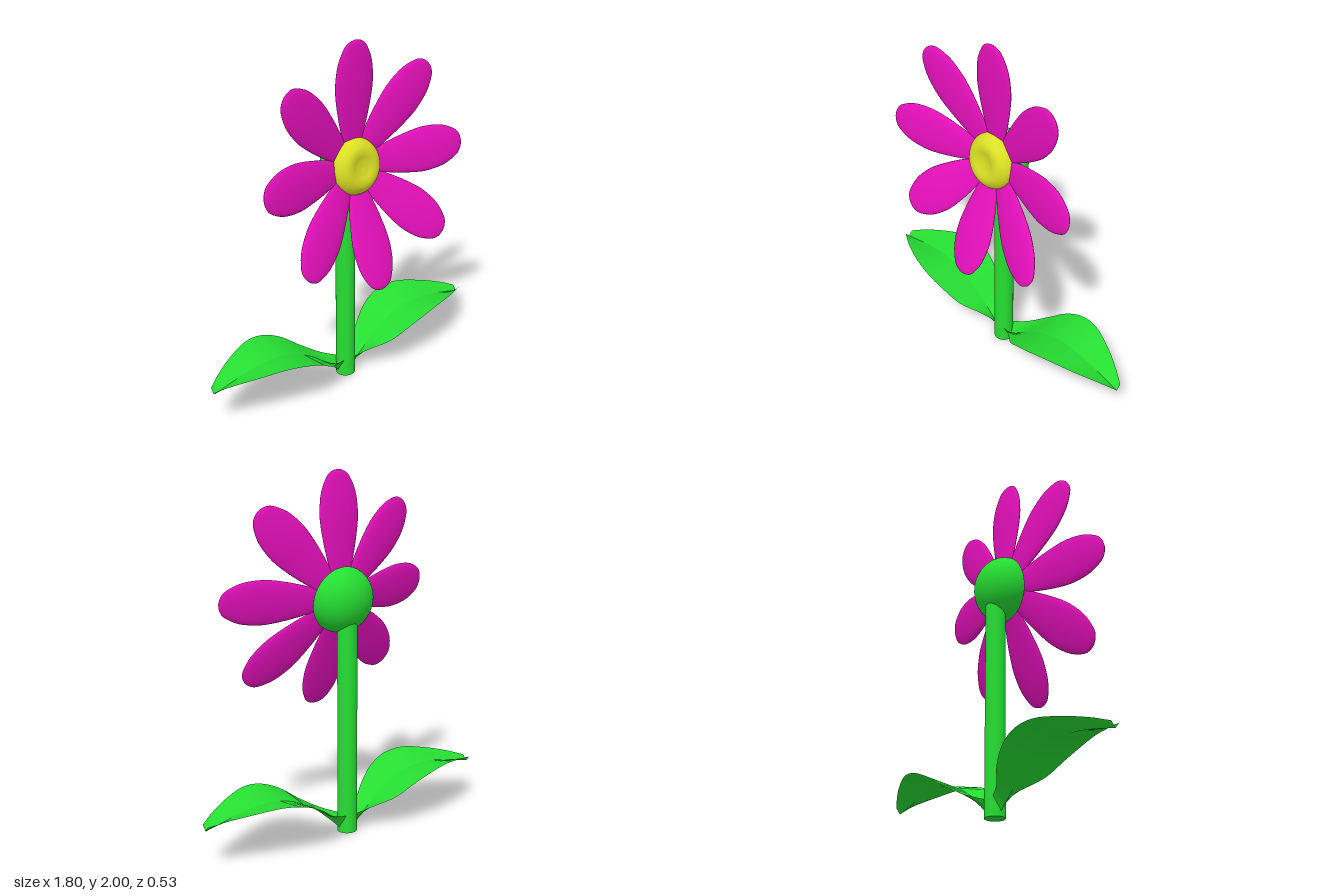
import * as THREE from 'three';

const mat = (name, color, side = THREE.FrontSide) => {
  const m = new THREE.MeshStandardMaterial({ color, side });
  m.name = name;
  return m;
};

export function createModel() {
  const green = mat('leaf green', 0x26de32);
  const leafGreen = green.clone();
  leafGreen.side = THREE.DoubleSide;
  const magenta = mat('petal magenta', 0xe610bc);
  const yellow = mat('centre yellow', 0xdadf24);

  const model = new THREE.Group();
  model.name = 'flower';
  const add = (parent, name, geometry, material) => {
    const mesh = new THREE.Mesh(geometry, material);
    mesh.name = name;
    parent.add(mesh);
    return mesh;
  };

  // Stem
  add(model, 'stem', new THREE.CylinderGeometry(0.055, 0.055, 1.2, 24), green)
    .position.set(0, 0.6, -0.055);

  // Flower head, tilted slightly upwards
  const head = new THREE.Group();
  head.name = 'head';
  head.position.set(0, 1.31, 0);
  head.rotation.x = -0.17;
  model.add(head);

  // Green cup behind the petals
  const cup = new THREE.SphereGeometry(0.183, 40, 16, 0, Math.PI * 2, Math.PI / 2, Math.PI / 2);
  cup.rotateX(Math.PI / 2).scale(1, 1, 0.83);
  add(head, 'cup', cup, green);
  add(head, 'cupFront', new THREE.CircleGeometry(0.183, 40), green);

  // Domed centre with a shallow dimple
  const domeCurve = new THREE.SplineCurve([
    [0.15, 0], [0.155, 0.03], [0.143, 0.065], [0.11, 0.095],
    [0.075, 0.1], [0.04, 0.092], [0, 0.088],
  ].map(([r, h]) => new THREE.Vector2(r, h)));
  const dome = new THREE.LatheGeometry(domeCurve.getPoints(24), 40);
  dome.rotateX(Math.PI / 2);
  add(head, 'centre', dome, yellow);

  // Eight flattened, egg-shaped petals cupped forwards
  const petalCurve = new THREE.SplineCurve([
    [0, 0.05], [0.045, 0.09], [0.072, 0.17], [0.1, 0.28], [0.12, 0.39],
    [0.125, 0.47], [0.112, 0.57], [0.075, 0.65], [0.04, 0.68], [0, 0.69],
  ].map(([r, h]) => new THREE.Vector2(r, h)));
  const petalPoints = petalCurve.getPoints(36);
  petalPoints.forEach((p) => { p.x = Math.max(p.x, 0); });
  const petalGeometry = new THREE.LatheGeometry(petalPoints, 28);
  petalGeometry.scale(1, 1, 0.18);
  for (let i = 0; i < 8; i++) {
    const petal = add(head, 'petal', petalGeometry, magenta);
    petal.rotation.order = 'ZYX';
    petal.rotation.set(0.215, 0, i * Math.PI / 4);
  }

  // Arched leaves with a V-shaped cross-section: x, midrib y, edge y, half width
  const stations = [
    [0.03, 0.005, 0.1, 0.035], [0.12, 0.09, 0.135, 0.08], [0.22, 0.175, 0.19, 0.155],
    [0.32, 0.235, 0.26, 0.197], [0.43, 0.275, 0.307, 0.212], [0.55, 0.287, 0.325, 0.195],
    [0.7, 0.268, 0.305, 0.138], [0.82, 0.24, 0.277, 0.075], [0.9, 0.22, 0.25, 0.025],
  ];
  const curveOf = (f) => new THREE.CatmullRomCurve3(stations.map((s) => new THREE.Vector3(...f(s))));
  const rib = curveOf(([x, y]) => [x, y, 0]);
  const edge = curveOf(([x, , y, w]) => [x, y, w]);
  const steps = 40;

  // One blade runs from the midrib out to one edge
  const blade = (sx, sz) => {
    const positions = [];
    const index = [];
    for (let i = 0; i <= steps; i++) {
      const a = rib.getPoint(i / steps);
      const b = edge.getPoint(i / steps);
      positions.push(sx * a.x, a.y, -0.057, sx * b.x, b.y, -0.057 + sz * b.z);
      if (i === steps) break;
      const k = i * 2;
      if (sx * sz > 0) index.push(k, k + 1, k + 2, k + 1, k + 3, k + 2);
      else index.push(k, k + 2, k + 1, k + 1, k + 2, k + 3);
    }
    const g = new THREE.BufferGeometry();
    g.setAttribute('position', new THREE.Float32BufferAttribute(positions, 3));
    g.setIndex(index);
    g.computeVertexNormals();
    return g;
  };
  for (const sx of [1, -1]) {
    const leaf = new THREE.Group();
    leaf.name = sx > 0 ? 'leftLeaf' : 'rightLeaf';
    model.add(leaf);
    add(leaf, 'frontBlade', blade(sx, 1), leafGreen);
    add(leaf, 'backBlade', blade(sx, -1), leafGreen);
  }

  return model;
}
